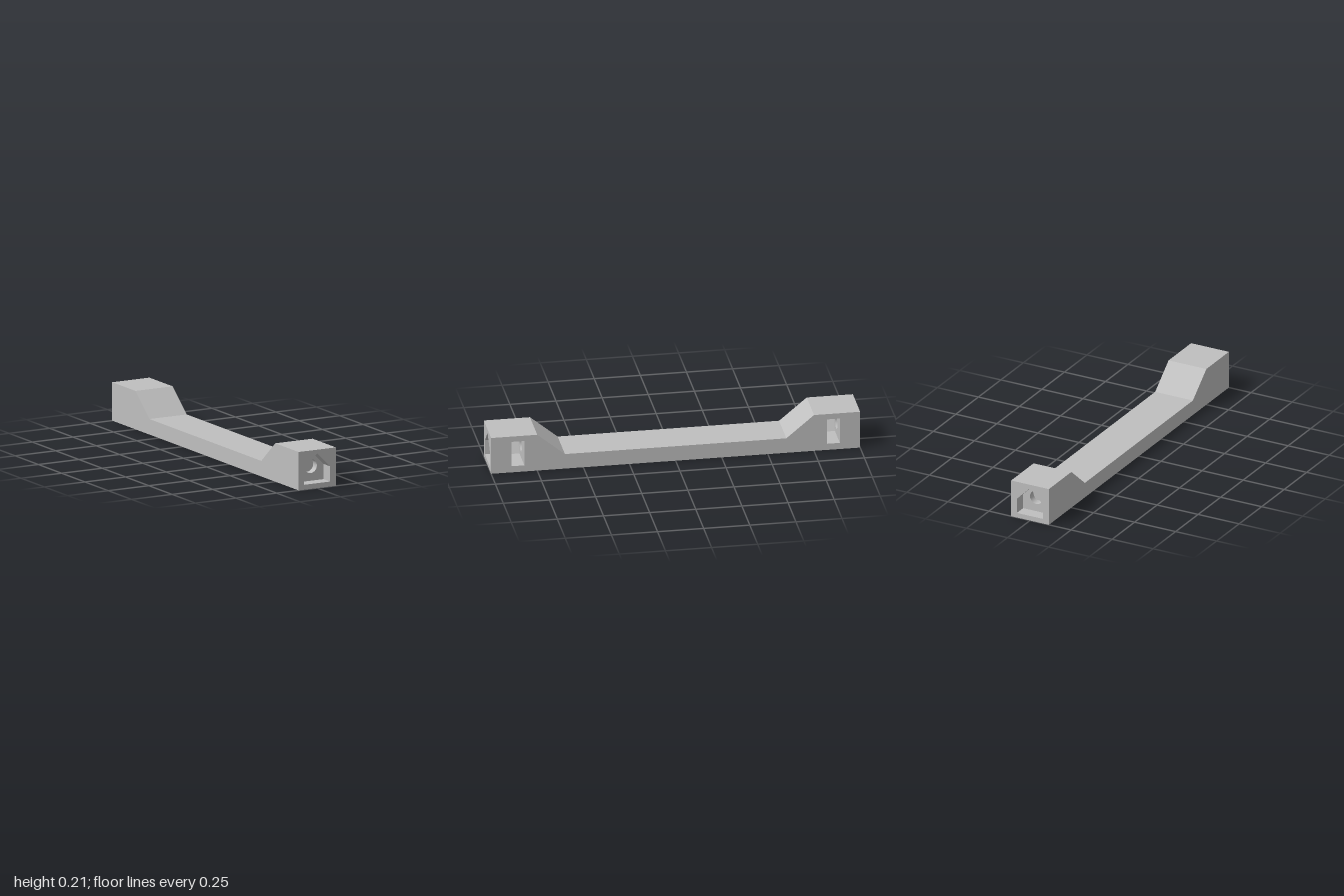
import * as THREE from 'three';

const W = 0.115, H = 0.21;              // half width and block height
const BORE_Y = 0.107, BORE_R = 0.038;

const material = new THREE.MeshStandardMaterial({ color: 0xbfbfbf, side: THREE.DoubleSide });
material.name = 'grey plastic';

const vecs = (pts) => pts.map(([x, y]) => new THREE.Vector2(x, y));

function add(parent, name, geometry) {
  const mesh = new THREE.Mesh(geometry, material);
  mesh.name = name;
  parent.add(mesh);
  return mesh;
}

// Flat-shaded strip swept from z0 to z1 along a polyline
function strip(pts, z0, z1) {
  const pos = [];
  for (let i = 0; i + 1 < pts.length; i++) {
    const [px, py] = pts[i], [qx, qy] = pts[i + 1];
    pos.push(px, py, z0, qx, qy, z0, qx, qy, z1, px, py, z0, qx, qy, z1, px, py, z1);
  }
  const g = new THREE.BufferGeometry();
  g.setAttribute('position', new THREE.Float32BufferAttribute(pos, 3));
  g.computeVertexNormals();
  return g;
}

// Flat face with openings
function plate(pts, holes = []) {
  const shape = new THREE.Shape(vecs(pts));
  shape.holes.push(...holes);
  return new THREE.ShapeGeometry(shape, 24);
}

const boreOpening = () => new THREE.Path().absarc(0, BORE_Y, BORE_R, 0, Math.PI * 2, true);

function boreWall(z0, z1) {
  return new THREE.CylinderGeometry(BORE_R, BORE_R, z1 - z0, 48, 1, true)
    .rotateX(Math.PI / 2).translate(0, BORE_Y, (z0 + z1) / 2);
}

// End face with gabled pocket, bore and side-loaded nut slot
function createEnd(name) {
  const end = new THREE.Group();
  end.name = name;
  const face = [[-W, 0], [W, 0], [W, H], [-W, H]];
  const house = [[-0.08, 0.027], [-0.08, 0.11], [0, 0.19], [0.08, 0.11], [0.08, 0.027]];
  const nut = [[W, 0.036], [-0.041, 0.036], [-0.082, BORE_Y], [-0.041, 0.179], [W, 0.179]];

  add(end, 'endFace', plate(face, [new THREE.Path(vecs(house))])).position.z = 1;
  add(end, 'pocketWalls', strip([...house, house[0]], 0.93, 1));
  add(end, 'pocketBack', plate(house, [boreOpening()])).position.z = 0.93;
  add(end, 'nutSlotWalls', strip(nut, 0.82, 0.89));
  for (const z of [0.82, 0.89]) add(end, 'nutSlotSide', plate(nut, [boreOpening()])).position.z = z;
  add(end, 'outerBore', boreWall(0.89, 0.93));
  add(end, 'innerBore', boreWall(0.75, 0.82));
  add(end, 'boreBottom', new THREE.CircleGeometry(BORE_R, 48)).position.set(0, BORE_Y, 0.75);
  return end;
}

export function createModel() {
  const model = new THREE.Group();
  model.name = 'handle';

  // Side profile: low bar rising to a block at each end
  const top = [[1, H], [0.75, H], [0.6, 0.085], [-0.6, 0.085], [-0.75, H], [-1, H]];
  const bottom = [[-1, 0], [1, 0]];
  const profile = [...bottom, ...top];
  const slots = [-1, 1].map((s) => new THREE.Path(vecs(
    [[0.82, 0.036], [0.89, 0.036], [0.89, 0.179], [0.82, 0.179]].map(([u, y]) => [u * s, y]))));

  const body = new THREE.Group();
  body.name = 'body';
  body.rotation.y = Math.PI / 2;
  add(body, 'topSurface', strip(top, -W, W));
  add(body, 'underside', strip(bottom, -W, W));
  add(body, 'leftSide', plate(profile, slots)).position.z = W;
  const right = add(body, 'rightSide', plate(profile));
  right.position.z = -W;
  right.rotation.y = Math.PI;
  model.add(body);

  // Mirrored ends
  const rear = createEnd('rearEnd');
  rear.scale.z = -1;
  model.add(createEnd('frontEnd'), rear);
  return model;
}
